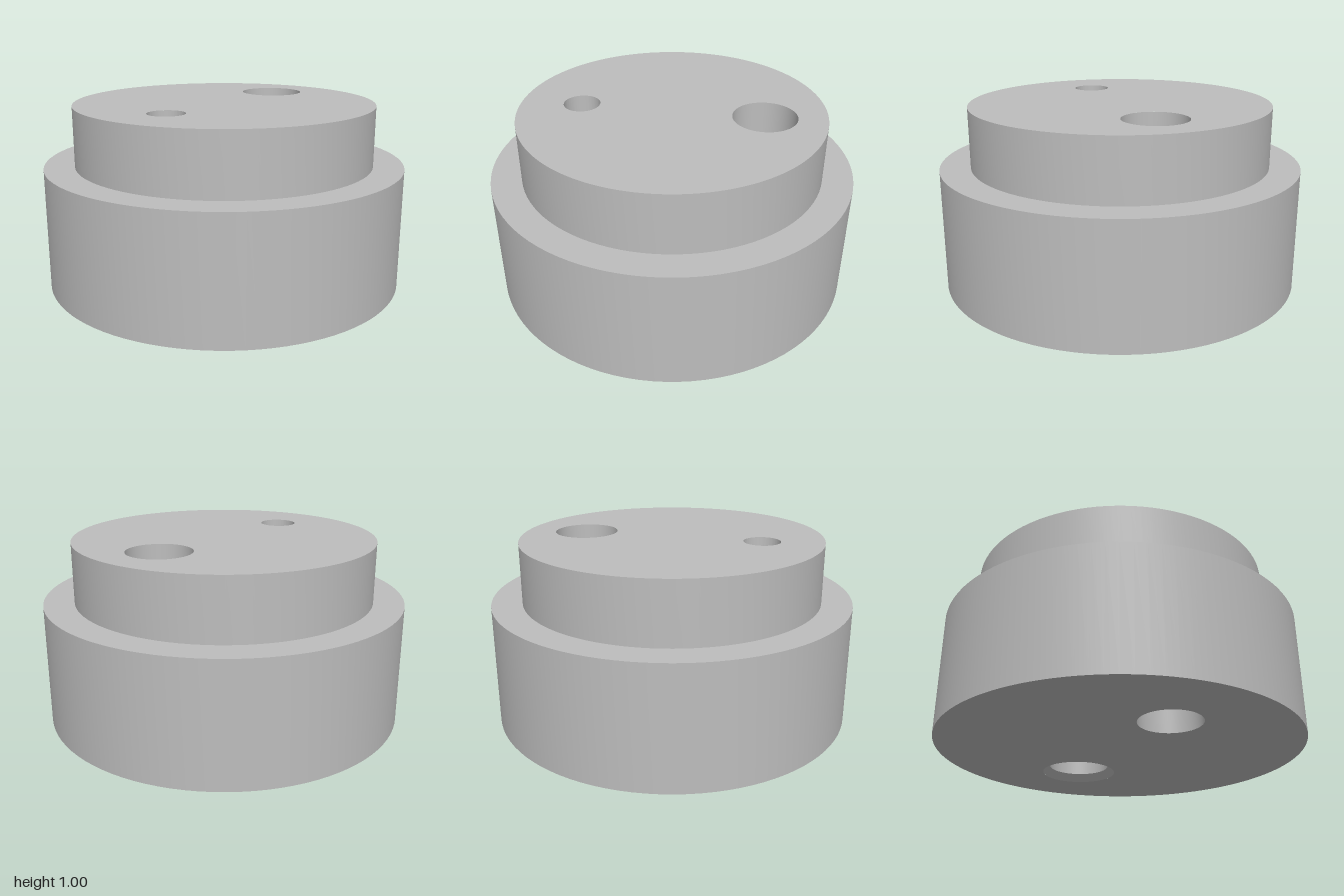
import * as THREE from 'three';
import { toCreasedNormals } from 'three/addons/utils/BufferGeometryUtils.js';

const SEGMENTS = 96;
const HEIGHT = 1;

export function createModel() {
  const model = new THREE.Group();
  model.name = 'steppedDisc';
  const grey = new THREE.MeshStandardMaterial({ color: 0xbdbdbd });
  grey.name = 'plainGrey';

  const add = (name, geometry) => {
    const mesh = new THREE.Mesh(geometry, grey);
    mesh.name = name;
    model.add(mesh);
    return mesh;
  };

  // Turned surface: profiles running up face outward, running down face inward
  const turned = (name, profile, z = 0) => {
    const points = profile.map(([r, y]) => new THREE.Vector2(r, y));
    const lathe = new THREE.LatheGeometry(points, SEGMENTS);
    add(name, toCreasedNormals(lathe, 0.5)).position.z = z;
  };

  // Flat disc pierced by holes given as [radius, z]; side is 1 for up, -1 for down
  const piercedFace = (name, radius, y, side, holes) => {
    const shape = new THREE.Shape().absarc(0, 0, radius, 0, Math.PI * 2);
    for (const [r, z] of holes) {
      shape.holes.push(new THREE.Path().absarc(0, -side * z, r, 0, Math.PI * 2, true));
    }
    const face = new THREE.ShapeGeometry(shape, SEGMENTS);
    face.rotateX(-side * Math.PI / 2);
    add(name, face).position.y = y;
  };

  // Outer wall: wide base, ledge and narrower upper step
  turned('steppedWall', [[1, 0], [1, 0.667], [0.833, 0.667], [0.833, HEIGHT]]);

  // Large through hole, countersunk underneath
  turned('countersunkBore', [[0.174, HEIGHT], [0.174, 0.04], [0.2125, 0]], -0.5);

  // Small through hole with a wider counterbore underneath
  turned('counterboredHole', [[0.1, HEIGHT], [0.1, 0.133], [0.167, 0.133], [0.167, 0]], 0.5);

  // Top and bottom faces
  piercedFace('topFace', 0.833, HEIGHT, 1, [[0.174, -0.5], [0.1, 0.5]]);
  piercedFace('bottomFace', 1, 0, -1, [[0.2125, -0.5], [0.167, 0.5]]);

  return model;
}
